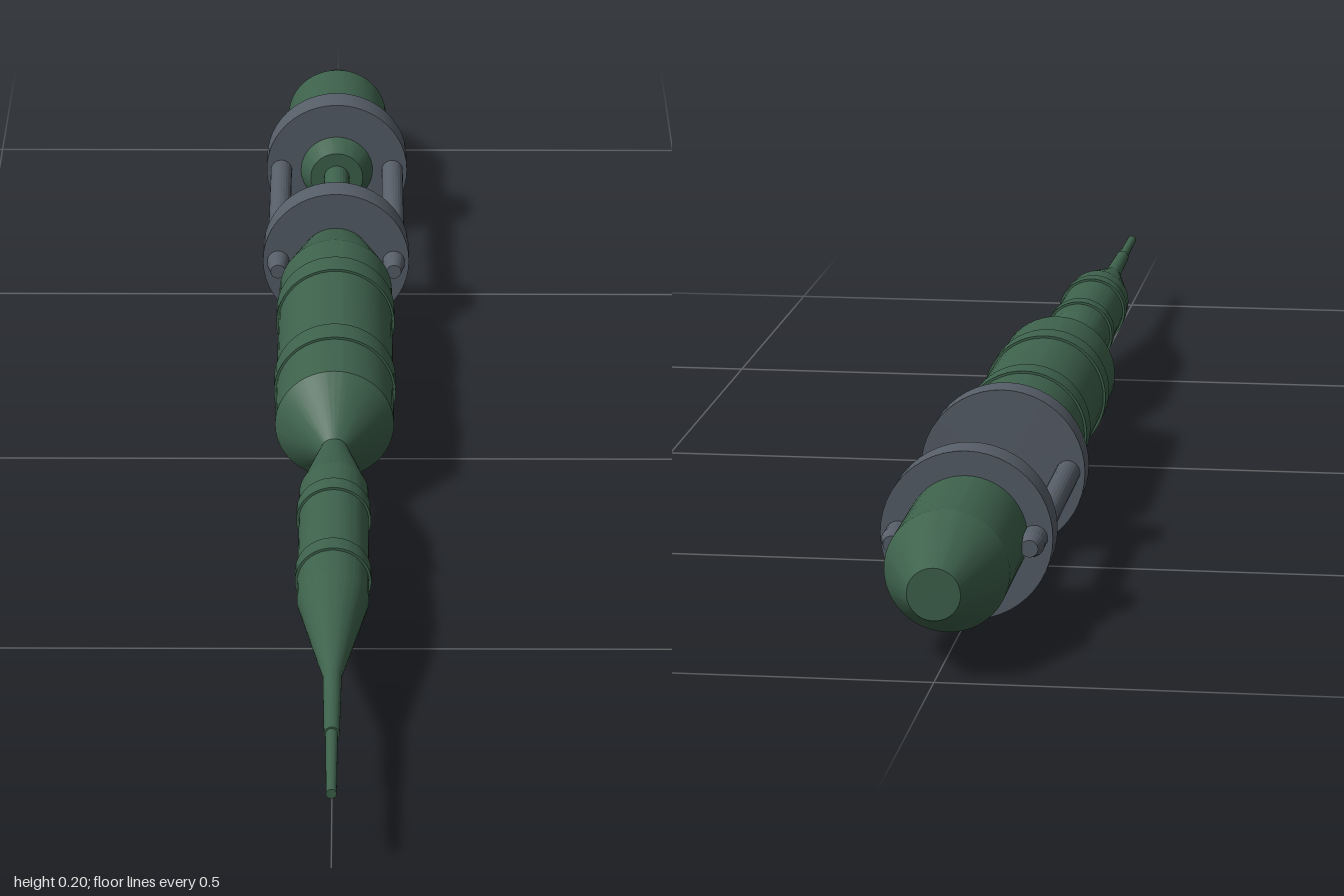
import * as THREE from 'three';
import { toCreasedNormals } from 'three/addons/utils/BufferGeometryUtils.js';

const AXIS_Y = 0.1;

export function createModel() {
  const model = new THREE.Group();
  model.name = 'spindleProbe';

  const green = new THREE.MeshStandardMaterial({ color: 0x3e624c });
  green.name = 'hull green';
  const grey = new THREE.MeshStandardMaterial({ color: 0x565e68 });
  grey.name = 'frame grey';

  // Solid turned around the long axis; profile is [radius, z] with z rising
  function turned(name, profile, material, x = 0, segments = 48) {
    const points = profile.map(([r, z]) => new THREE.Vector2(r, z));
    const geometry = new THREE.LatheGeometry(points, segments).rotateX(Math.PI / 2);
    const mesh = new THREE.Mesh(toCreasedNormals(geometry, 0.2), material);
    mesh.name = name;
    mesh.position.set(x, AXIS_Y, 0);
    model.add(mesh);
    return mesh;
  }

  // Closed disc or rod of one radius
  const drum = (name, r, z0, z1, material, x, segments) =>
    turned(name, [[0, z0], [r, z0], [r, z1], [0, z1]], material, x, segments);

  function block(name, w, h, d, x, y, z) {
    const mesh = new THREE.Mesh(new THREE.BoxGeometry(w, h, d), green);
    mesh.name = name;
    mesh.position.set(x, y, z);
    model.add(mesh);
  }

  // Nose section with its stepped needle
  turned('noseSection', [
    [0, 0.16], [0.015, 0.16], [0.043, 0.285], [0.043, 0.56],
    [0.011, 0.74], [0.009, 0.87], [0.007, 0.87], [0.006, 1], [0, 1],
  ], green);
  for (const z of [0.345, 0.5]) drum('noseBand', 0.046, z - 0.013, z + 0.013, green);

  // Main hull
  turned('mainHull', [
    [0, -0.41], [0.045, -0.41], [0.076, -0.3], [0.076, 0.098], [0.016, 0.175], [0, 0.175],
  ], green);
  for (const z of [-0.22, -0.015]) drum('hullBand', 0.079, z - 0.02, z + 0.02, green);

  // Open cage: two flanges joined by side rods around a core shaft
  drum('frontFlange', 0.1, -0.436, -0.395, grey);
  drum('rearFlange', 0.1, -0.746, -0.702, grey);
  drum('coreShaft', 0.018, -0.7, -0.42, green, 0, 24);
  for (const side of [-1, 1]) {
    turned('sideRod', [
      [0, -0.795], [0.01, -0.795], [0.015, -0.775],
      [0.015, -0.385], [0.01, -0.36], [0, -0.36],
    ], grey, side * 0.079, 24);
  }

  // Tail section
  turned('tailSection', [
    [0, -1], [0.03, -1], [0.071, -0.9], [0.071, -0.745],
    [0.05, -0.7], [0.037, -0.675], [0, -0.675],
  ], green);

  // Belly mount with four paired lugs
  block('bellyPlate', 0.034, 0.012, 0.12, 0, 0.023, -0.112);
  for (const x of [-0.014, 0.014]) {
    for (const z of [-0.072, -0.09, -0.135, -0.153]) {
      block('bellyLug', 0.007, 0.014, 0.007, x, 0.011, z);
    }
  }

  return model;
}
